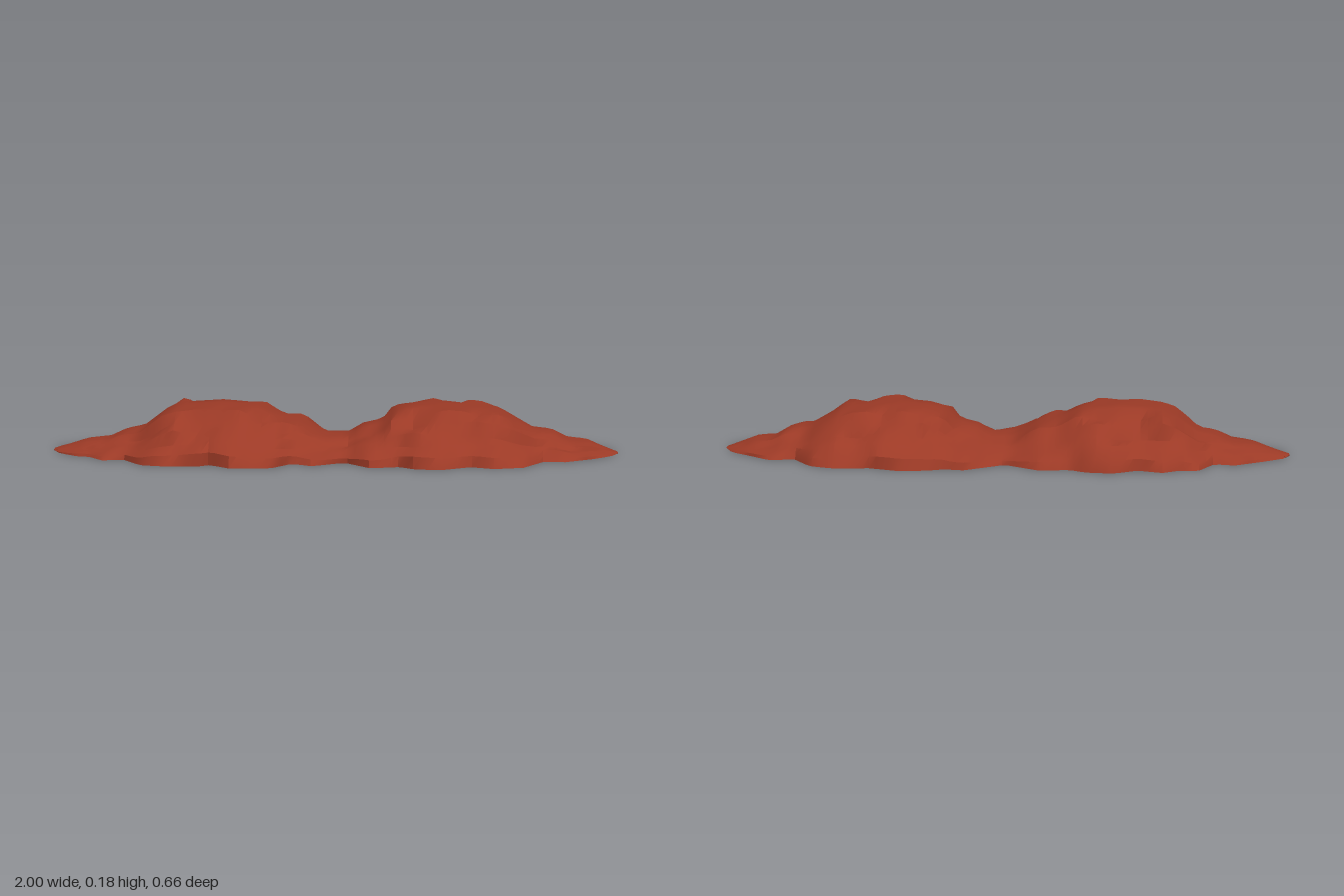
import * as THREE from 'three';
import { toCreasedNormals } from 'three/addons/utils/BufferGeometryUtils.js';

// Linear interpolation through [x, value] points
function sample(points, x) {
  for (let i = 1; i < points.length; i++) {
    const [x0, a] = points[i - 1], [x1, b] = points[i];
    if (x <= x1) return a + (b - a) * Math.max(0, (x - x0) / (x1 - x0));
  }
  return points[points.length - 1][1];
}

// Repeatable value in -1..1 for a lattice cell
function hash(i, j) {
  const s = Math.sin(i * 127.1 + j * 311.7) * 43758.5453;
  return (s - Math.floor(s)) * 2 - 1;
}

// Ridge height along the length
const ridge = [[-1, 0.004], [-0.88, 0.04], [-0.8, 0.048], [-0.74, 0.075], [-0.68, 0.085], [-0.6, 0.145], [-0.55, 0.167],
  [-0.4, 0.176], [-0.27, 0.165], [-0.2, 0.132], [-0.12, 0.113], [-0.03, 0.066], [0.05, 0.066], [0.1, 0.095], [0.17, 0.11],
  [0.21, 0.15], [0.27, 0.167], [0.38, 0.176], [0.58, 0.155], [0.65, 0.115], [0.7, 0.087], [0.77, 0.08], [0.83, 0.045],
  [0.9, 0.04], [1, 0.004]];

// Scalloped outlines on the ground: distance of the back and front edges
const back = [[-1, 0.01], [-0.975, 0.06], [-0.9, 0.115], [-0.8, 0.18], [-0.73, 0.165], [-0.67, 0.275], [-0.61, 0.27],
  [-0.55, 0.31], [-0.465, 0.28], [-0.385, 0.33], [-0.29, 0.32], [-0.235, 0.285], [-0.13, 0.3], [-0.01, 0.22], [0.13, 0.315],
  [0.19, 0.3], [0.25, 0.325], [0.35, 0.336], [0.45, 0.3], [0.58, 0.31], [0.66, 0.28], [0.73, 0.175], [0.81, 0.2],
  [0.89, 0.135], [0.97, 0.075], [1, 0.01]];
const front = [[-1, 0.01], [-0.97, 0.07], [-0.9, 0.125], [-0.86, 0.13], [-0.8, 0.2], [-0.73, 0.18], [-0.66, 0.28],
  [-0.58, 0.3], [-0.46, 0.3], [-0.42, 0.27], [-0.35, 0.33], [-0.21, 0.325], [-0.14, 0.24], [-0.07, 0.28], [0.04, 0.215],
  [0.13, 0.31], [0.23, 0.285], [0.28, 0.325], [0.37, 0.335], [0.47, 0.28], [0.55, 0.31], [0.65, 0.285], [0.73, 0.17],
  [0.8, 0.18], [0.9, 0.12], [0.97, 0.065], [1, 0.01]];

// Cross-section from crest to ground: [fraction of width, fraction of height]
const section = [[0, 1], [0.2, 0.995], [0.42, 0.92], [0.54, 0.74], [0.66, 0.57], [0.79, 0.42], [0.94, 0.22], [1, 0]];

function moundGeometry() {
  const stations = 80, half = section.length - 1, row = half * 2 + 1;
  const positions = [], index = [];
  for (let i = 0; i <= stations; i++) {
    const x = -1 + (2 * i) / stations;
    const h = sample(ridge, x);
    for (let j = -half; j <= half; j++) {
      const k = Math.abs(j), side = Math.sign(j);
      const outline = side < 0 ? back : front;
      const [t, f] = section[k];
      // The crest follows a calmer width than the scalloped foot
      const edge = sample(outline, x);
      let calm = 0;
      for (let d = -2; d <= 2; d++) calm += sample(outline, x + d * 0.035) / 5;
      const width = calm + (edge - calm) * t * t;
      // Lumps on the flanks
      const cell = (x + 1) / 0.075, c = Math.floor(cell), u = cell - c;
      const lump = hash(c, j) * (1 - u) + hash(c + 1, j) * u;
      const flank = k > 1 && k < half ? 1 : 0;
      const z = side * width * Math.min(0.99, t + flank * lump * 0.045 + (k === half ? 1 : 0));
      const y = h * Math.min(1, f * (1 + flank * 0.17 * lump));
      positions.push(x, y, z);
    }
  }
  for (let i = 0; i < stations; i++) {
    const a = i * row, b = a + row;
    for (let j = 0; j < row - 1; j++) {
      index.push(a + j, a + j + 1, b + j, b + j, a + j + 1, b + j + 1);
    }
    // Flat underside
    index.push(a, b, a + row - 1, b, b + row - 1, a + row - 1);
  }
  const geometry = new THREE.BufferGeometry();
  geometry.setAttribute('position', new THREE.Float32BufferAttribute(positions, 3));
  geometry.setIndex(index);
  return toCreasedNormals(geometry, 0.6);
}

export function createModel() {
  const group = new THREE.Group();
  group.name = 'rockMound';
  const redRock = new THREE.MeshStandardMaterial({ color: 0x9c3a26 });
  redRock.name = 'red rock';
  const mound = new THREE.Mesh(moundGeometry(), redRock);
  mound.name = 'twinHumpMound';
  group.add(mound);
  return group;
}
